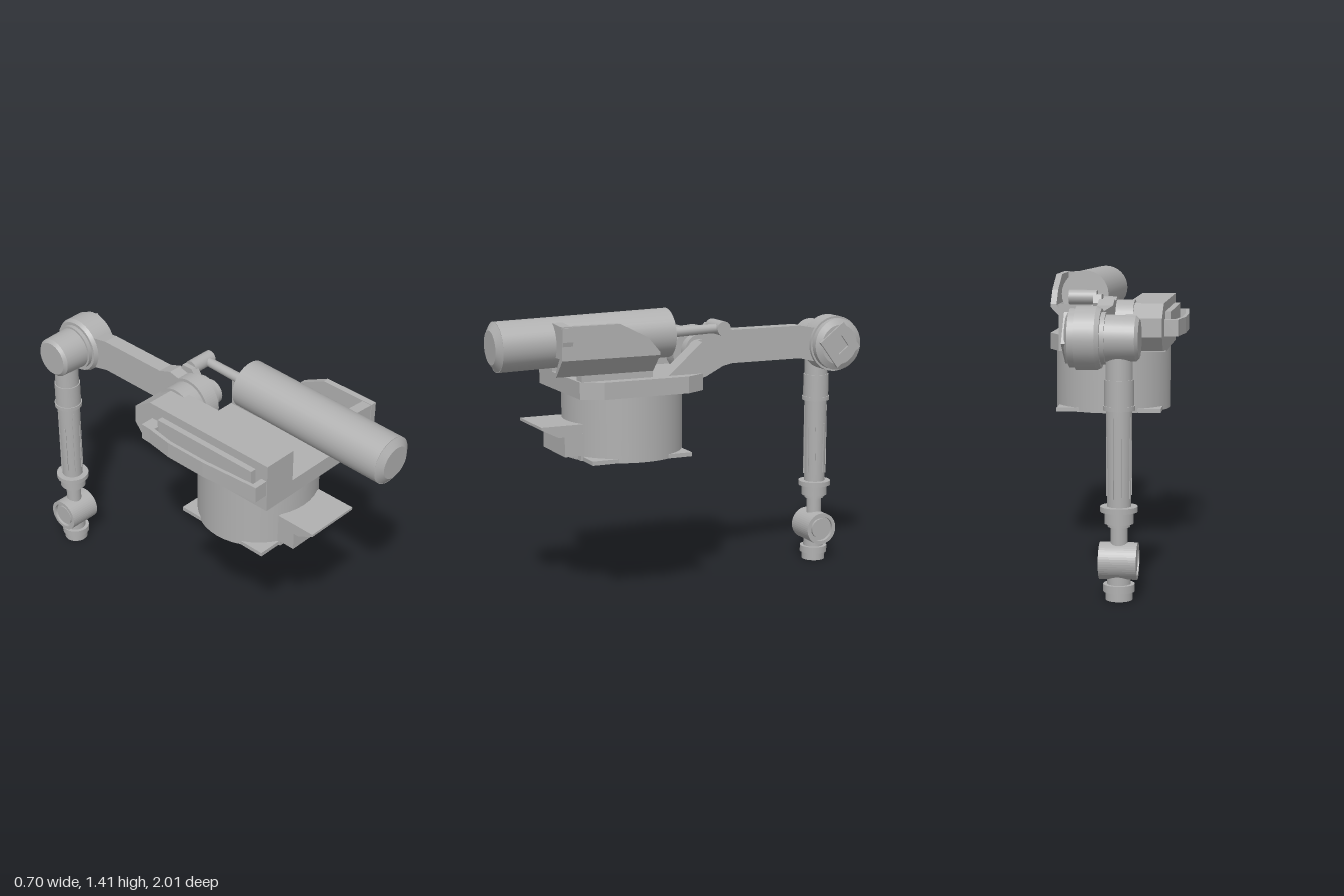
import * as THREE from 'three';

export function createModel() {
  const model = new THREE.Group();
  const grey = new THREE.MeshStandardMaterial({ color: 0xb0b0b0 });

  function add(name, geometry) {
    const mesh = new THREE.Mesh(geometry, grey);
    mesh.name = name;
    model.add(mesh);
    return mesh;
  }
  // Box from its minimum and maximum corners
  function box(name, x0, x1, y0, y1, z0, z1) {
    return add(name, new THREE.BoxGeometry(x1 - x0, y1 - y0, z1 - z0)
      .translate((x0 + x1) / 2, (y0 + y1) / 2, (z0 + z1) / 2));
  }
  // Cylinder or cone between two points
  function rod(name, a, b, r0, r1 = r0, sides = 32) {
    const p = new THREE.Vector3(...a), q = new THREE.Vector3(...b);
    const dir = q.clone().sub(p);
    const mesh = add(name, new THREE.CylinderGeometry(r1, r0, dir.length(), sides));
    mesh.position.copy(p).add(q).multiplyScalar(0.5);
    mesh.quaternion.setFromUnitVectors(new THREE.Vector3(0, 1, 0), dir.normalize());
    return mesh;
  }
  const shapeOf = pts => new THREE.Shape(pts.map(p => new THREE.Vector2(...p)));
  const extrude = (shape, depth) =>
    new THREE.ExtrudeGeometry(shape, { depth, bevelEnabled: false, curveSegments: 24 });
  // Side profile given as (z, y), extruded across x
  function side(name, shape, x0, x1) {
    return add(name, extrude(shape, x1 - x0).rotateY(-Math.PI / 2).translate(x1, 0, 0));
  }
  // Ground plan given as (x, z), extruded upwards
  function plan(name, pts, y0, y1) {
    const shape = shapeOf(pts.map(([x, z]) => [x, -z]));
    return add(name, extrude(shape, y1 - y0).rotateX(-Math.PI / 2).translate(0, y0, 0));
  }

  // Pedestal
  rod('pedestal', [0.03, 0.71, 0.3], [0.03, 1.02, 0.3], 0.29, 0.29, 40);
  box('footPlate', -0.23, 0.29, 0.71, 0.73, 0.05, 0.56);
  box('connectorBox', -0.11, 0.17, 0.735, 0.84, 0.5, 0.65);
  box('connectorFoot', -0.11, 0.17, 0.71, 0.735, 0.5, 0.57);
  side('connectorVisor', shapeOf([[0.56, 0.83], [0.68, 0.83], [0.765, 0.872],
    [0.765, 0.885], [0.56, 0.885]]), -0.115, 0.17);

  // Turning deck
  plan('deck', [[-0.26, 0.61], [0.265, 0.61], [0.32, 0.51], [0.32, 0.08],
    [0.265, -0.02], [-0.26, -0.02]], 1.02, 1.1);
  side('deckFin', shapeOf([[-0.015, 1.05], [-0.015, 1.25], [0.16, 1.1], [0.16, 1.05]]), 0.18, 0.265);

  // Long housing beside the arm
  side('housing', shapeOf([[0.61, 1.05], [0.61, 1.265], [-0.13, 1.265], [-0.23, 1.2],
    [-0.23, 1.11], [-0.17, 1.04], [-0.02, 1.03]]), -0.26, -0.085);
  box('housingSidePanel', -0.29, -0.25, 1.1, 1.22, -0.05, 0.54);
  plan('sideRail', [[-0.26, -0.115], [-0.33, -0.115], [-0.333, -0.06], [-0.353, 0.08],
    [-0.353, 0.3], [-0.33, 0.605], [-0.26, 0.605], [-0.26, 0.575], [-0.315, 0.575],
    [-0.335, 0.3], [-0.335, 0.08], [-0.315, -0.045], [-0.26, -0.045]], 1.105, 1.185);

  // Upper arm
  const shoulder = [-0.1, 1.165], elbow = [-0.865, 1.165];
  rod('shoulderBearing', [-0.12, 1.165, -0.1], [-0.03, 1.165, -0.1], 0.115);
  const arm = new THREE.Shape();
  arm.absarc(...shoulder, 0.13, 2.1, -2.1, true);
  arm.lineTo(-0.24, 1.09);
  arm.lineTo(-0.29, 1.1);
  arm.lineTo(-0.67, 1.1);
  arm.lineTo(-0.75, 1.08);
  arm.absarc(...elbow, 0.13, -0.7, 0.7, true);
  arm.lineTo(-0.75, 1.25);
  arm.lineTo(-0.67, 1.265);
  arm.lineTo(-0.29, 1.265);
  arm.lineTo(-0.22, 1.29);
  side('upperArm', arm, -0.035, 0.04);
  rod('shoulderHub', [0.03, 1.175, -0.1], [0.085, 1.175, -0.1], 0.09);
  rod('shoulderCap', [0.08, 1.175, -0.08], [0.115, 1.175, -0.08], 0.062);

  // Balancer cylinder, piston rod and pivot eye
  rod('balancer', [0.153, 1.29, 0.12], [0.153, 1.27, 0.975], 0.117);
  rod('balancerNose', [0.153, 1.27, 0.975], [0.153, 1.269, 1], 0.117, 0.08);
  rod('pistonRod', [0.153, 1.287, 0.15], [0.153, 1.295, -0.16], 0.026, 0.022, 16);
  rod('rodEye', [0.055, 1.295, -0.168], [0.19, 1.295, -0.168], 0.035, 0.035, 24);
  side('rodLug', shapeOf([[-0.06, 1.2], [-0.14, 1.31], [-0.2, 1.31], [-0.215, 1.27], [-0.19, 1.2]]), 0.03, 0.07);

  // Angular bracket around the balancer
  side('bracketWall', shapeOf([[0.725, 1.215], [0.725, 1.37], [0.44, 1.37], [0.3, 1.3],
    [0.24, 1.23], [0.24, 1.215]]), 0.315, 0.345);
  add('bracketFront', extrude(shapeOf([[0.21, 1.22], [0.33, 1.22], [0.35, 1.3],
    [0.35, 1.365], [0.21, 1.375]]), 0.05).translate(0, 0, 0.672));
  add('bracketUnderside', extrude(shapeOf([[0.245, 1.13], [0.265, 1.13], [0.345, 1.215],
    [0.33, 1.225], [0.315, 1.225]]), 0.485).translate(0, 0, 0.24));
  box('bracketMount', 0.2, 0.265, 1.09, 1.17, 0.24, 0.6);

  // Elbow: stacked discs along x as [x0, x1, r0, r1]
  [[-0.22, -0.205, 0.085, 0.1], [-0.205, -0.07, 0.1, 0.105], [-0.075, -0.05, 0.115, 0.115],
    [-0.055, -0.035, 0.13, 0.14], [-0.035, 0.055, 0.14, 0.14], [0.055, 0.085, 0.13, 0.13],
    [0.085, 0.1, 0.13, 0.1]].forEach(([x0, x1, r0, r1], i) =>
    rod('elbowDisc' + (i + 1), [x0, 1.165, -0.865], [x1, 1.165, -0.865], r0, r1));
  const square = half => [[-half, -half], [half, -half], [half, half], [-half, half]];
  const plate = shapeOf(square(0.082));
  plate.holes.push(shapeOf(square(0.034)));
  const diamond = add('elbowPlate', extrude(plate, 0.02).rotateZ(0.65).rotateY(Math.PI / 2));
  diamond.position.set(0.09, 1.165, -0.865);

  // Forearm and tool: stacked rings as [y0, y1, r0, r1]
  const fx = -0.13, fz = -0.865;
  [[0.975, 1.1, 0.06, 0.06], [0.87, 0.985, 0.065, 0.065], [0.85, 0.87, 0.07, 0.07],
    [0.42, 0.85, 0.053, 0.058], [0.398, 0.422, 0.083, 0.083], [0.345, 0.398, 0.065, 0.065],
    [0.33, 0.345, 0.05, 0.05], [0.24, 0.33, 0.038, 0.038], [0.065, 0.11, 0.052, 0.052],
    [0.038, 0.072, 0.07, 0.07], [0, 0.038, 0.06, 0.06]].forEach(([y0, y1, r0, r1], i) =>
    rod('forearmRing' + (i + 1), [fx, y0, fz], [fx, y1, fz], r0, r1));

  // Slim ribs around the forearm tube
  for (let i = 0; i < 8; i++) {
    const a = (i + 0.5) * Math.PI / 4;
    const rib = add('forearmRib', new THREE.BoxGeometry(0.008, i % 2 ? 0.36 : 0.26, 0.006));
    rib.position.set(fx + 0.056 * Math.sin(a), i % 2 ? 0.64 : 0.6, fz + 0.056 * Math.cos(a));
    rib.rotation.y = a;
  }

  // Wrist barrel with recessed ends
  const wrist = new THREE.Shape();
  wrist.absarc(fz, 0.175, 0.083, 0, Math.PI * 2, false);
  const bore = new THREE.Path();
  bore.absarc(fz, 0.175, 0.065, 0, Math.PI * 2, true);
  wrist.holes.push(bore);
  side('wristBarrel', wrist, -0.213, -0.045);
  rod('wristCore', [-0.195, 0.175, fz], [-0.063, 0.175, fz], 0.066);
  rod('wristPin', [-0.208, 0.175, fz], [-0.05, 0.175, fz], 0.052);

  return model;
}
